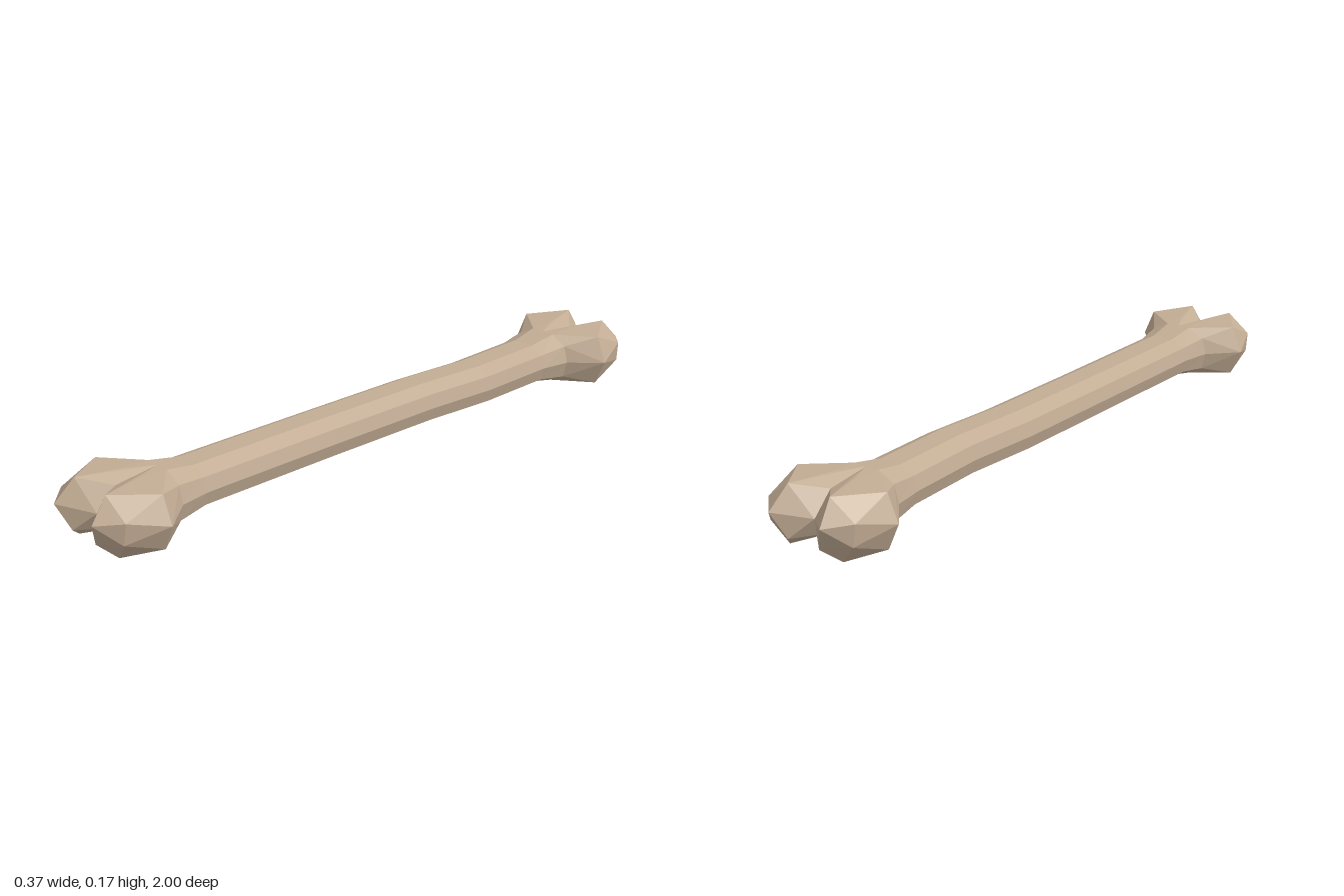
import * as THREE from 'three';
import { ConvexGeometry } from 'three/addons/geometries/ConvexGeometry.js';

const MID = 0.09; // height of the bone's axis

// Ten-sided cross-section, counter-clockwise, starting at +x
function ring(z, shift, wide, tall) {
  const half = [[1, 0], [0.87, 0.66], [0.38, 1]];
  const upper = [...half, ...half.slice(1).reverse().map(([x, y]) => [-x, y]), [-1, 0]];
  const lower = upper.slice(1, -1).reverse().map(([x, y]) => [x, -y]);
  return [...upper, ...lower].map(([x, y]) => new THREE.Vector3(shift + x * wide, MID + y * tall, z));
}

// Faceted tube through a list of rings running from +z to -z
function loft(rings) {
  const pos = [];
  const n = rings[0].length;
  for (let k = 0; k < rings.length - 1; k++) {
    for (let i = 0; i < n; i++) {
      const j = (i + 1) % n;
      const a = rings[k][i], b = rings[k][j], c = rings[k + 1][j], d = rings[k + 1][i];
      for (const p of [a, c, b, a, d, c]) pos.push(p.x, p.y, p.z);
    }
  }
  const geo = new THREE.BufferGeometry();
  geo.setAttribute('position', new THREE.Float32BufferAttribute(pos, 3));
  geo.computeVertexNormals();
  return geo;
}

export function createModel() {
  const group = new THREE.Group();
  group.name = 'bone';
  const boneMat = new THREE.MeshStandardMaterial({ color: 0xc2ac94, flatShading: true });
  boneMat.name = 'bone tan';

  // Shaft: z, sideways shift, half width, half height
  const stations = [
    [0.74, 0, 0.105, 0.076], [0.65, 0, 0.09, 0.06], [0.2, -0.003, 0.088, 0.06],
    [-0.17, -0.003, 0.088, 0.06], [-0.4, 0.011, 0.088, 0.06],
    [-0.65, 0, 0.09, 0.06], [-0.74, 0, 0.105, 0.076],
  ];
  const shaft = new THREE.Mesh(loft(stations.map((s) => ring(...s))), boneMat);
  shaft.name = 'shaft';
  group.add(shaft);

  // One knuckle: half of the neck ring, the centre notch and the knob corners
  const knuckle = [
    ...ring(0.74, 0, 0.105, 0.076).filter((p) => p.x > 0).map((p) => p.toArray()),
    [0, 0.166, 0.74], [0, 0.014, 0.74],
    [0, 0.15, 0.87], [0, 0.09, 0.93], [0, 0.032, 0.87],
    [0.07, 0.172, 0.945], [0.15, 0.165, 0.83], [0.04, 0.17, 0.83],
    [0.183, 0.088, 0.83], [0.148, 0.012, 0.83], [0.09, 0, 0.93],
    [0.052, 0.038, 0.972], [0.085, 0.11, 1],
    [0.145, 0.118, 0.94], [0.138, 0.057, 0.945],
  ];
  for (const sz of [1, -1]) {
    for (const sx of [1, -1]) {
      const pts = knuckle.map(([x, y, z]) => new THREE.Vector3(x * sx, y, z * sz));
      const mesh = new THREE.Mesh(new ConvexGeometry(pts), boneMat);
      mesh.name = (sz > 0 ? 'front' : 'back') + (sx > 0 ? 'Left' : 'Right') + 'Knuckle';
      group.add(mesh);
    }
  }
  return group;
}
